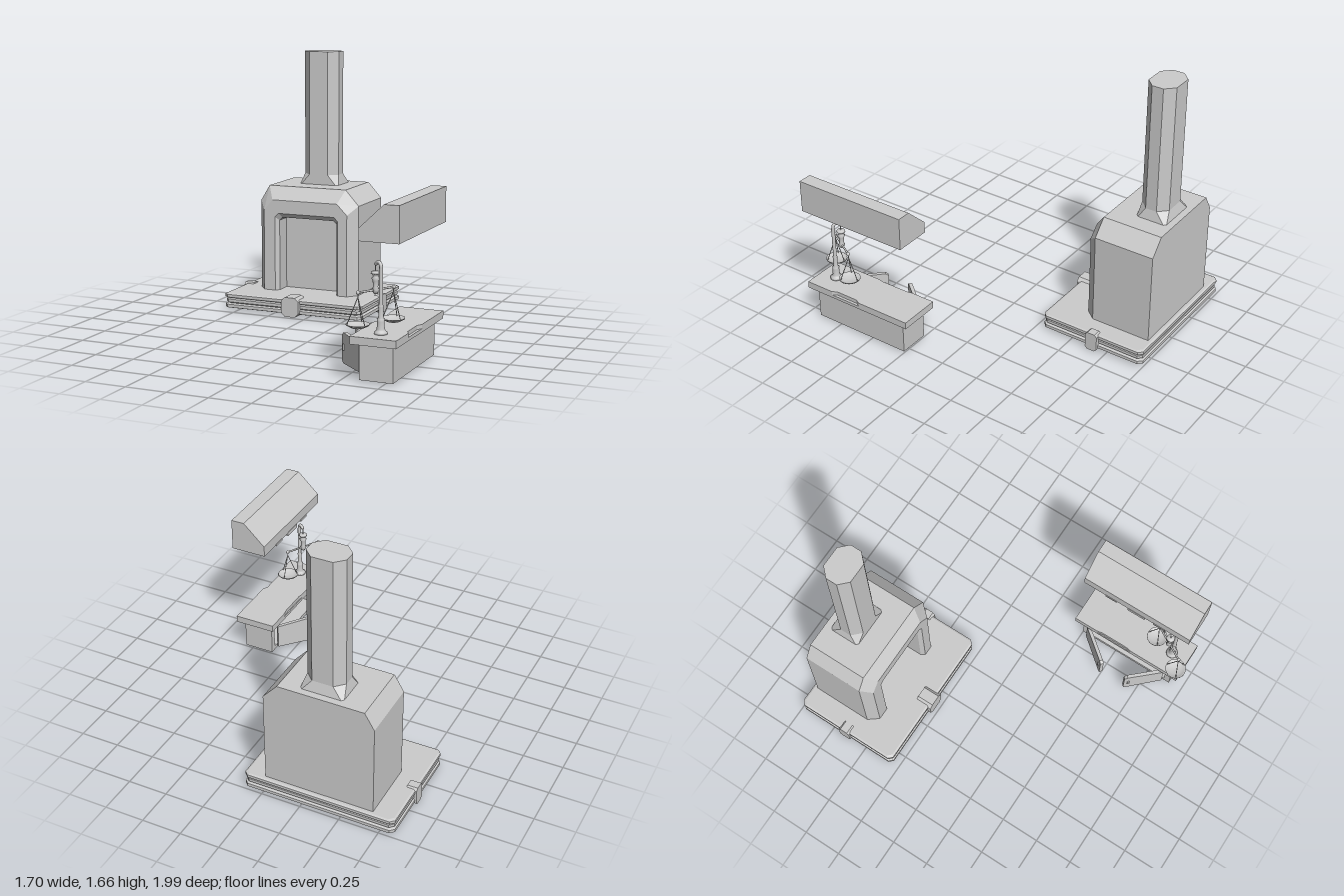
import * as THREE from 'three';

const mat = new THREE.MeshStandardMaterial({ color: 0xcccccc, flatShading: true });
const smooth = new THREE.MeshStandardMaterial({ color: 0xcccccc, side: THREE.DoubleSide });
const V = (x, y, z) => new THREE.Vector3(x, y, z);

function add(parent, name, geometry, material = mat) {
  const mesh = new THREE.Mesh(geometry, material);
  mesh.name = name;
  parent.add(mesh);
  return mesh;
}

// Joins rings (counter-clockwise about the direction of travel) and caps both ends
function loft(rings) {
  const p = [];
  const tri = (...v) => v.forEach(q => p.push(q.x, q.y, q.z));
  const n = rings[0].length;
  for (let i = 0; i < rings.length - 1; i++) {
    for (let j = 0; j < n; j++) {
      const k = (j + 1) % n, a = rings[i], b = rings[i + 1];
      tri(a[j], a[k], b[k]);
      tri(a[j], b[k], b[j]);
    }
  }
  const first = rings[0], last = rings[rings.length - 1];
  for (let j = 1; j < n - 1; j++) {
    tri(first[0], first[j + 1], first[j]);
    tri(last[0], last[j], last[j + 1]);
  }
  const g = new THREE.BufferGeometry();
  g.setAttribute('position', new THREE.Float32BufferAttribute(p, 3));
  g.computeVertexNormals();
  return g;
}

// Rectangle with cut corners, counter-clockwise
const rect = (u0, u1, v0, v1, c) => [
  [u0 + c, v0], [u1 - c, v0], [u1, v0 + c], [u1, v1 - c],
  [u1 - c, v1], [u0 + c, v1], [u0, v1 - c], [u0, v0 + c]];
const ringY = (y, x0, x1, z0, z1, c = 0) => rect(x0, x1, -z1, -z0, c).map(([u, v]) => V(u, y, -v));
const ringX = (x, z0, z1, y0, y1, c = 0) => rect(z0, z1, y0, y1, c).map(([u, v]) => V(x, v, u));

// Arch outline with cut shoulders, facing +z
const arch = (z, x0, x1, top, cl, cr, drop) => [
  [x1, 0.1], [x1, top - drop], [x1 - cr, top], [x0 + cl, top], [x0, top - drop], [x0, 0.1]
].map(([x, y]) => V(x, y, z));

function box(parent, name, x0, x1, y0, y1, z0, z1) {
  const m = add(parent, name, new THREE.BoxGeometry(x1 - x0, y1 - y0, z1 - z0));
  m.position.set((x0 + x1) / 2, (y0 + y1) / 2, (z0 + z1) / 2);
  return m;
}

function rod(parent, name, a, b, r) {
  const m = add(parent, name, new THREE.CylinderGeometry(r, r, a.distanceTo(b), 8), smooth);
  m.position.copy(a).add(b).multiplyScalar(0.5);
  m.quaternion.setFromUnitVectors(V(0, 1, 0), b.clone().sub(a).normalize());
}

function lathe(parent, name, points, x, y, z, sides = 16) {
  const g = new THREE.LatheGeometry(points.map(q => new THREE.Vector2(...q)), sides);
  const m = add(parent, name, g, smooth);
  m.position.set(x, y, z);
  return m;
}

function makeFurnace() {
  const g = new THREE.Group();
  g.name = 'furnace';
  // Hearth slab with grooved edge
  const edge = [[0.02, 0.015], [0.025, 0], [0.045, 0], [0.052, 0.016], [0.06, 0.006],
    [0.078, 0.006], [0.085, 0.016], [0.092, 0], [0.11, 0], [0.116, 0.012]];
  add(g, 'hearthSlab', loft(edge.map(([y, i]) => ringY(y, -0.84 + i, 0.12 - i, -0.995 + i, -0.295 - i, 0.025))));
  // Clasps gripping the slab edge
  const side = (x0, x1) => loft([ringX(x1, -0.695, -0.615, 0.005, 0.125, 0.015), ringX(x0, -0.695, -0.615, 0.005, 0.125, 0.015)]);
  add(g, 'rightClasp', side(-0.85, -0.785));
  add(g, 'leftClasp', side(0.085, 0.138));
  const front = z => rect(-0.42, -0.3, 0.006, 0.132, 0.025).map(([x, y]) => V(x, y, z));
  add(g, 'frontClasp', loft([front(-0.385), front(-0.275)]));
  // Body with chamfered front and recessed fire opening
  add(g, 'furnaceBody', loft([
    arch(-0.965, -0.7, -0.01, 0.8, 0.06, 0.09, 0.1),
    arch(-0.575, -0.7, -0.01, 0.8, 0.06, 0.09, 0.1),
    arch(-0.51, -0.65, -0.065, 0.715, 0.06, 0.07, 0.07),
    arch(-0.51, -0.572, -0.13, 0.628, 0.025, 0.025, 0.025),
    arch(-0.535, -0.55, -0.147, 0.6, 0.02, 0.02, 0.02),
    arch(-0.64, -0.55, -0.147, 0.6, 0.02, 0.02, 0.02)]));
  // Chimney with flared foot
  add(g, 'chimney', loft([
    ringY(0.79, -0.493, -0.218, -0.925, -0.722, 0.008),
    ringY(0.865, -0.475, -0.235, -0.905, -0.722, 0.055),
    ringY(1.67, -0.475, -0.235, -0.905, -0.722, 0.055)]));
  return g;
}

function makeCanopy() {
  const g = new THREE.Group();
  g.name = 'canopy';
  // Sloped hood, hollow underneath
  add(g, 'hood', loft([
    ringY(0.87, 0.68, 0.8, 0.3, 0.85, 0.03),
    ringY(0.785, 0.65, 0.815, 0.245, 0.9, 0.045),
    ringY(0.785, 0.615, 0.845, 0.205, 0.95),
    ringY(0.855, 0.615, 0.845, 0.205, 0.95),
    ringY(0.99, 0.757, 0.845, 0.205, 0.95)]));
  // Trim under the front lip
  for (const [z, w, y] of [[0.58, 0.12, 0.765], [0.4, 0.08, 0.775], [0.74, 0.08, 0.775]])
    box(g, 'lipTrim', 0.612, 0.645, y, 0.79, z - w / 2, z + w / 2);
  return g;
}

function makeCounter() {
  const g = new THREE.Group();
  g.name = 'counter';
  // Cabinet open toward -x
  add(g, 'cabinet', loft([
    ringX(0.8, 0.25, 0.91, 0.015, 0.225), ringX(0.605, 0.25, 0.91, 0.015, 0.225),
    ringX(0.605, 0.29, 0.87, 0.04, 0.2), ringX(0.76, 0.29, 0.87, 0.04, 0.2)]));
  // Worktop, the upper layer worn away along its edges
  box(g, 'worktop', 0.568, 0.835, 0.222, 0.242, 0.2, 0.96);
  const s = new THREE.Shape([[0.568, 0.2], [0.835, 0.2], [0.835, 0.56], [0.818, 0.59], [0.818, 0.74],
    [0.835, 0.77], [0.835, 0.96], [0.568, 0.96], [0.568, 0.62], [0.575, 0.58], [0.575, 0.4], [0.568, 0.36]
  ].map(([x, z]) => new THREE.Vector2(x, -z)));
  const top = new THREE.ExtrudeGeometry(s, { depth: 0.024, bevelEnabled: false });
  add(g, 'worktopSurface', top.rotateX(-Math.PI / 2).translate(0, 0.242, 0));
  // Open doors with handles, each running out from its hinge
  for (const [hx, hz, ex, ez] of [[0.585, 0.295, 0.418, 0.5], [0.59, 0.855, 0.415, 0.67]]) {
    const door = new THREE.Group();
    door.name = 'door';
    const len = Math.hypot(ex - hx, ez - hz);
    const outline = new THREE.Shape([[0, 0.045], [len - 0.02, 0.033], [len, 0.045], [len, 0.195],
      [len - 0.02, 0.21], [0, 0.203]].map(q => new THREE.Vector2(...q)));
    add(door, 'doorPanel', new THREE.ExtrudeGeometry(outline, { depth: 0.022, bevelEnabled: false }).translate(0, 0, -0.011));
    box(door, 'doorHandle', len - 0.035, len - 0.02, 0.11, 0.145, -0.018, 0.018);
    door.position.set(hx, 0, hz);
    door.rotation.y = Math.atan2(-(ez - hz), ex - hx);
    g.add(door);
  }
  return g;
}

function makeScales() {
  const g = new THREE.Group();
  g.name = 'balanceScales';
  const px = 0.703, pz = 0.845, cx = 0.662, cz = 0.82;
  // Turned post with a hooked top
  lathe(g, 'post', [[0, 0], [0.037, 0], [0.037, 0.012], [0.027, 0.02], [0.022, 0.03], [0.02, 0.07],
    [0.022, 0.085], [0.014, 0.09], [0.013, 0.15], [0.016, 0.155], [0.011, 0.165], [0.011, 0.36]], px, 0.264, pz);
  const hook = new THREE.CatmullRomCurve3([V(px, 0.615, pz), V(px - 0.002, 0.642, pz - 0.001),
    V(0.69, 0.655, 0.837), V(0.674, 0.652, 0.827), V(cx, 0.64, cz)]);
  add(g, 'hook', new THREE.TubeGeometry(hook, 16, 0.01, 10), smooth);
  rod(g, 'hangingLink', V(cx, 0.645, cz), V(cx, 0.59, cz), 0.003);
  // Pivot body holding the beam
  lathe(g, 'pivot', [[0, -0.025], [0.012, -0.02], [0.02, 0], [0.014, 0.015], [0.016, 0.05], [0.024, 0.065],
    [0.014, 0.072], [0.018, 0.085], [0.027, 0.09], [0.025, 0.1], [0, 0.104]], cx, 0.5, cz);
  const ends = [V(0.602, 0.5, 0.925), V(0.725, 0.5, 0.715)];
  rod(g, 'beam', ends[0], ends[1], 0.006);
  for (const e of ends) {
    add(g, 'beamEnd', new THREE.SphereGeometry(0.011, 12, 8), smooth).position.copy(e);
    lathe(g, 'pan', [[0, -0.012], [0.035, -0.01], [0.055, 0], [0.065, 0.006], [0.065, 0.012],
      [0.055, 0.006], [0.035, -0.004], [0, -0.006]], e.x, 0.318, e.z, 20);
    // Hanger and three chains
    const knot = e.clone().setY(0.475);
    rod(g, 'hanger', e, knot, 0.003);
    for (let i = 0; i < 3; i++) {
      const a = i * Math.PI * 2 / 3 + 0.5;
      rod(g, 'chain', knot, V(e.x + 0.06 * Math.cos(a), 0.326, e.z + 0.06 * Math.sin(a)), 0.0025);
    }
  }
  return g;
}

export function createModel() {
  const model = new THREE.Group();
  model.name = 'workshop';
  model.add(makeFurnace(), makeCanopy(), makeCounter(), makeScales());
  return model;
}
